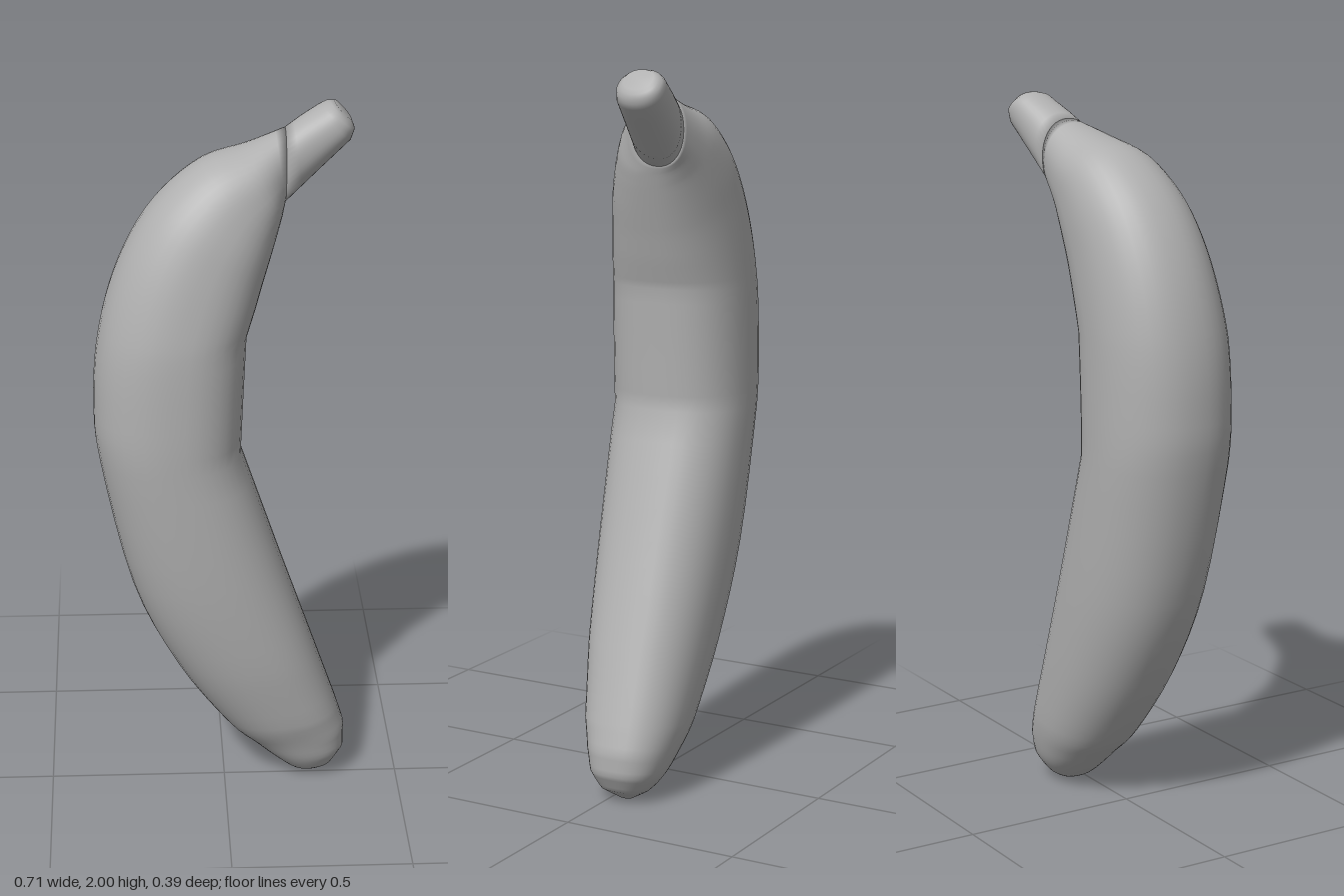
import * as THREE from 'three';

const SEGMENTS = 40;

// Cross-sections from bottom to top:
// outer edge x, y; inner edge x, y; front z, back z
const BODY = [
  [0.235, 0.003, 0.265, 0.003, -0.015, -0.055],
  [0.19, 0.022, 0.318, 0.038, 0.03, -0.1],
  [0.14, 0.06, 0.348, 0.09, 0.06, -0.135],
  [0.08, 0.112, 0.348, 0.155, 0.08, -0.155],
  [0.0, 0.19, 0.325, 0.23, 0.11, -0.17],
  [-0.14, 0.39, 0.257, 0.43, 0.15, -0.182],
  [-0.26, 0.65, 0.16, 0.71, 0.178, -0.19],
  [-0.345, 1.03, 0.045, 1.05, 0.194, -0.191],
  [-0.358, 1.2, 0.052, 1.22, 0.195, -0.191],
  [-0.347, 1.37, 0.06, 1.39, 0.19, -0.191],
  [-0.31, 1.53, 0.085, 1.47, 0.175, -0.19],
  [-0.25, 1.67, 0.105, 1.54, 0.157, -0.188],
  [-0.17, 1.78, 0.125, 1.605, 0.135, -0.186],
  [-0.06, 1.865, 0.145, 1.67, 0.1, -0.18],
  [0.06, 1.9, 0.157, 1.71, 0.06, -0.172],
  [0.165, 1.935, 0.165, 1.735, -0.003, -0.164],
];

const STEM = [
  [0.165, 1.935, 0.165, 1.735, -0.003, -0.164],
  [0.21, 1.963, 0.255, 1.818, -0.024, -0.174],
  [0.255, 1.987, 0.342, 1.897, -0.045, -0.183],
  [0.275, 1.996, 0.352, 1.925, -0.053, -0.18],
  [0.297, 1.998, 0.343, 1.95, -0.075, -0.16],
];

// Lofts a closed skin: smooth along the outer edge, straight runs along the inner edge
function loft(sections, steps, smooth) {
  const last = sections.length - 1;
  const curve = (a, b) => new THREE.CatmullRomCurve3(
    sections.map((s) => new THREE.Vector3(s[a], s[b], 0)), false, 'catmullrom', 0.5);
  const outer = curve(0, 1), depth = curve(4, 5);
  const positions = [], index = [];
  const rows = last * steps + 1;
  for (let r = 0; r < rows; r++) {
    const f = r / steps;
    const k = Math.min(Math.floor(f), last - 1);
    const mix = (i) => THREE.MathUtils.lerp(sections[k][i], sections[k + 1][i], f - k);
    const o = smooth ? outer.getPoint(f / last) : new THREE.Vector3(mix(0), mix(1), 0);
    const d = smooth ? depth.getPoint(f / last) : new THREE.Vector3(mix(4), mix(5), 0);
    const ix = mix(2), iy = mix(3);
    for (let j = 0; j < SEGMENTS; j++) {
      const a = (j / SEGMENTS) * Math.PI * 2;
      // Slightly squared oval, fuller on the inner side
      const power = smooth ? (Math.cos(a) > 0 ? 0.83 : 0.93) : 0.92;
      const c = Math.sign(Math.cos(a)) * Math.abs(Math.cos(a)) ** power;
      const s = Math.sign(Math.sin(a)) * Math.abs(Math.sin(a)) ** power;
      positions.push(
        (o.x + ix) / 2 + ((ix - o.x) / 2) * c,
        (o.y + iy) / 2 + ((iy - o.y) / 2) * c,
        (d.x + d.y) / 2 + ((d.x - d.y) / 2) * s);
    }
  }
  for (let r = 0; r < rows - 1; r++) {
    for (let j = 0; j < SEGMENTS; j++) {
      const n = (j + 1) % SEGMENTS;
      const a = r * SEGMENTS + j, b = r * SEGMENTS + n;
      const c = a + SEGMENTS, d = b + SEGMENTS;
      index.push(a, c, b, b, c, d);
    }
  }
  // End caps as fans around the ring centres
  for (const [row, s, top] of [[0, sections[0], false], [rows - 1, sections[last], true]]) {
    const centre = positions.length / 3;
    positions.push((s[0] + s[2]) / 2, (s[1] + s[3]) / 2, (s[4] + s[5]) / 2);
    for (let j = 0; j < SEGMENTS; j++) {
      const a = row * SEGMENTS + j, b = row * SEGMENTS + ((j + 1) % SEGMENTS);
      if (top) index.push(centre, b, a);
      else index.push(centre, a, b);
    }
  }
  const geometry = new THREE.BufferGeometry();
  geometry.setAttribute('position', new THREE.Float32BufferAttribute(positions, 3));
  geometry.setIndex(index);
  geometry.computeVertexNormals();
  return geometry;
}

export function createModel() {
  const group = new THREE.Group();
  group.name = 'banana';
  const grey = new THREE.MeshStandardMaterial({ color: 0xb0b0b0 });
  grey.name = 'plain grey';

  // Curved fruit
  const body = new THREE.Mesh(loft(BODY, 4, true), grey);
  body.name = 'fruitBody';

  // Short stalk with a rounded end
  const stem = new THREE.Mesh(loft(STEM, 2, false), grey);
  stem.name = 'stem';

  group.add(body, stem);
  return group;
}
